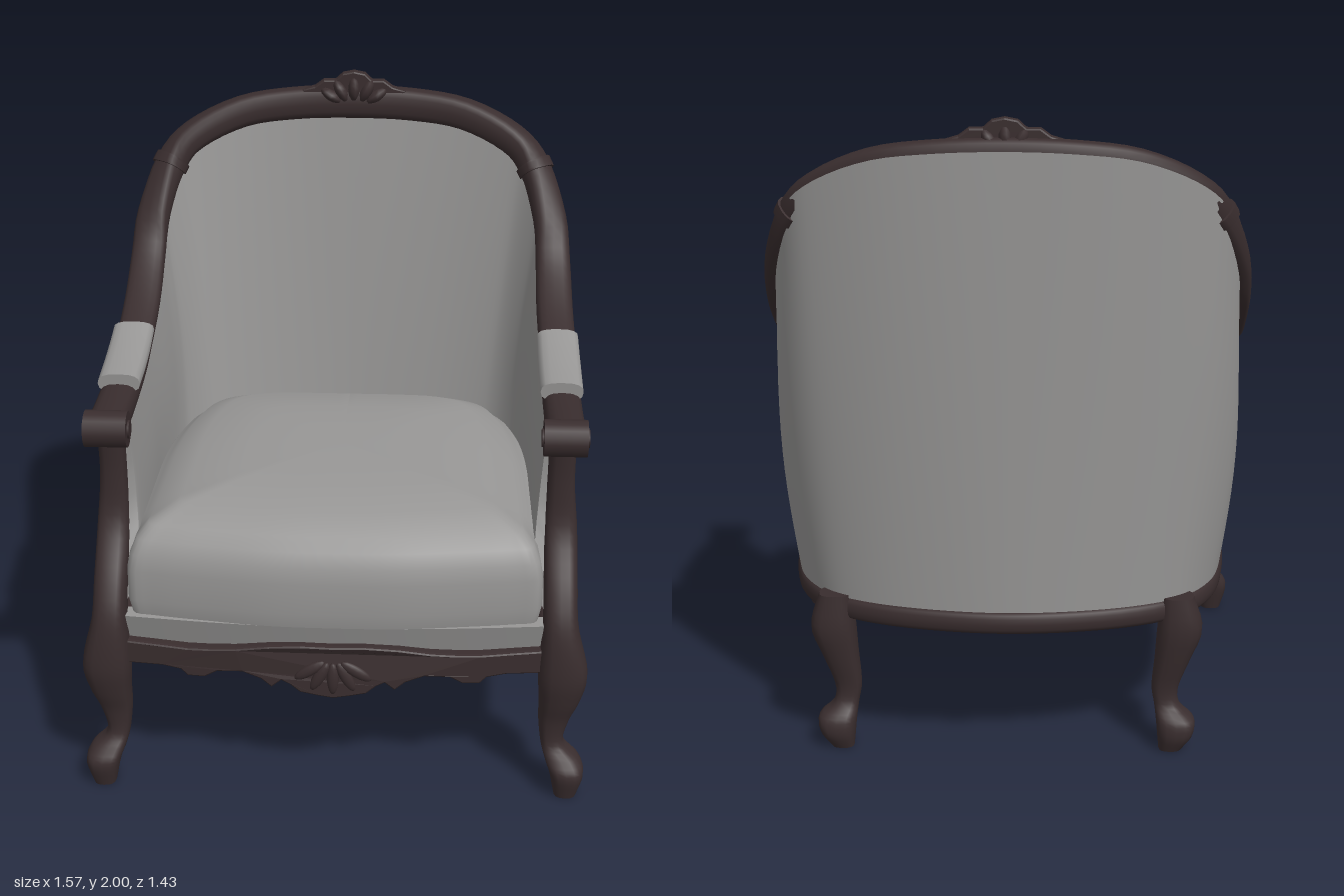
import * as THREE from 'three';

const wood = new THREE.MeshStandardMaterial({ color: 0x392d2e });
wood.name = 'darkWood';
const fabric = new THREE.MeshStandardMaterial({ color: 0x989796, side: THREE.DoubleSide });
fabric.name = 'greyFabric';

const X = new THREE.Vector3(1, 0, 0), Z = new THREE.Vector3(0, 0, 1);
const V = (x, y, z) => new THREE.Vector3(x, y, z);
const curveOf = pts => new THREE.CatmullRomCurve3(pts, false, 'catmullrom', 0.5);
const mirrorRows = rows => rows.map(([x, ...r]) => [-x, ...r]);
// Half a path from the left arm to the middle, continued to the right arm
const wholeRows = half => [...half, ...mirrorRows(half.slice(0, -1)).reverse()];

// Section axes: upright parts use x and z, rails follow the plan of the path
const uprightFrame = () => [X, Z];
const outOf = t => V(-t.z, 0, t.x).normalize();
const railFrame = t => [outOf(t), t.clone().cross(outOf(t))];

// Sweep a soft-cornered section along rows of [x, y, z, halfWidth, halfDepth]
function sweep(rows, frame, { steps = rows.length * 3, sides = 16, from = 0, to = 1, grow = 0 } = {}) {
  const path = curveOf(rows.map(r => V(r[0], r[1], r[2])));
  const size = curveOf(rows.map(r => V(r[3], r[4], 0)));
  const soft = n => Math.sign(n) * Math.abs(n) ** 0.75;
  const pos = [], idx = [];
  for (let i = 0; i <= steps; i++) {
    const t = from + (to - from) * i / steps;
    const p = path.getPoint(t), s = size.getPoint(t), [u, v] = frame(path.getTangent(t));
    for (let j = 0; j < sides; j++) {
      const a = j / sides * Math.PI * 2;
      const q = p.clone().addScaledVector(u, (s.x + grow) * soft(Math.cos(a)))
        .addScaledVector(v, (s.y + grow) * soft(Math.sin(a)));
      pos.push(q.x, q.y, q.z);
      if (i < steps) {
        const k = i * sides, n = (j + 1) % sides;
        idx.push(k + j, k + n, k + sides + j, k + n, k + sides + n, k + sides + j);
      }
    }
  }
  // End caps with their own vertices
  for (const [ring, flip] of [[0, true], [steps, false]]) {
    const base = pos.length / 3;
    pos.push(...pos.slice(ring * sides * 3, (ring + 1) * sides * 3));
    for (let j = 1; j < sides - 1; j++)
      idx.push(base, base + (flip ? j + 1 : j), base + (flip ? j : j + 1));
  }
  return indexed(pos, idx);
}

function indexed(pos, idx) {
  const g = new THREE.BufferGeometry();
  g.setAttribute('position', new THREE.Float32BufferAttribute(pos, 3));
  g.setIndex(idx);
  g.computeVertexNormals();
  return g;
}

// Surface from a rule (u, v) -> point
function grid(rule, nu, nv) {
  const pos = [], idx = [];
  for (let i = 0; i <= nu; i++) for (let j = 0; j <= nv; j++) {
    pos.push(...rule(i / nu, j / nv).toArray());
    if (i < nu && j < nv) {
      const a = i * (nv + 1) + j, b = a + nv + 1;
      idx.push(a, b, a + 1, b, b + 1, a + 1);
    }
  }
  return indexed(pos, idx);
}

// Symmetric carved board from half outlines, pushed back or forward by a rule in x
function carved(top, bottom, depth, bend) {
  const half = [...top, ...bottom];
  const outline = [...half, ...half.slice(1, -1).reverse().map(([x, y]) => [-x, y])];
  const shape = new THREE.Shape(outline.map(([x, y]) => new THREE.Vector2(x, y)));
  const g = new THREE.ExtrudeGeometry(shape, { depth, bevelEnabled: true, bevelSize: 0.006, bevelThickness: 0.012, bevelSegments: 2 });
  const p = g.attributes.position;
  for (let i = 0; i < p.count; i++) p.setZ(i, p.getZ(i) + bend(p.getX(i)));
  g.computeVertexNormals();
  return g;
}

// Bowed front line of the seat
const bow = x => 0.645 + 0.045 * Math.cos(Math.PI * x / 1.3);

// Front post running down into a curved leg, and the shorter back leg
const frontLeg = [
  [.685, 1.16, .49, .042, .045], [.685, 1.0, .478, .042, .04], [.69, .85, .49, .05, .042],
  [.692, .7, .575, .052, .055], [.695, .58, .62, .055, .064], [.708, .43, .63, .076, .068],
  [.702, .33, .622, .064, .06], [.688, .25, .61, .048, .05], [.685, .17, .612, .036, .045],
  [.715, .125, .635, .054, .052], [.732, .08, .65, .054, .062], [.73, 0, .65, .035, .042]];
const backLeg = [
  [.53, .51, -.53, .05, .045], [.54, .4, -.515, .07, .07], [.52, .3, -.51, .056, .06],
  [.498, .2, -.51, .042, .04], [.505, .14, -.515, .04, .04], [.53, .1, -.535, .06, .054],
  [.53, .05, -.54, .055, .055], [.515, 0, -.54, .035, .035]];
const postZ = y => {
  const i = Math.max(1, frontLeg.findIndex(r => r[1] <= y));
  const [a, b] = [frontLeg[i - 1], frontLeg[i]];
  return THREE.MathUtils.mapLinear(Math.min(y, a[1]), a[1], b[1], a[2], b[2]);
};

export function createModel() {
  const chair = new THREE.Group();
  chair.name = 'armchair';
  const add = (name, geo, mat) => {
    const m = new THREE.Mesh(geo, mat);
    m.name = name;
    chair.add(m);
    return m;
  };

  // Arm and back rail in one sweep
  const topRail = wholeRows([
    [.69, 1.175, .55, .06, .05], [.69, 1.175, .35, .06, .047], [.69, 1.195, .12, .06, .038],
    [.69, 1.235, -.03, .06, .036], [.685, 1.315, -.2, .06, .034], [.682, 1.425, -.35, .058, .034],
    [.67, 1.55, -.435, .056, .038], [.618, 1.70, -.525, .052, .046], [.54, 1.785, -.575, .05, .05],
    [.38, 1.855, -.625, .047, .053], [.2, 1.88, -.65, .046, .055], [0, 1.887, -.655, .046, .056]]);
  add('topRail', sweep(topRail, railFrame, { steps: 88 }), wood);
  for (const t of [7 / 22, 15 / 22])
    add('railCuff', sweep(topRail, railFrame, { steps: 4, from: t - .005, to: t + .005, grow: .007 }), wood);

  // Curved seat rail around the sides and back
  const seatPlan = wholeRows([
    [.70, .5, .66], [.70, .5, .37], [.705, .5, .12], [.70, .5, -.03], [.69, .5, -.15], [.67, .5, -.28],
    [.64, .5, -.38], [.58, .5, -.48], [.5, .5, -.55], [.36, .5, -.61], [.18, .5, -.65], [0, .5, -.665]]);
  add('seatRail', sweep(seatPlan.map(([x, , z]) => [x * .96, .465, z * .97, .035, .036]), railFrame, { steps: 66 }), wood);

  // Upholstered shell: outer and inner skins between seat rail and top rail, fitted to the posts
  const low = curveOf(seatPlan.map(r => V(...r)));
  const high = curveOf(topRail.map(r => V(r[0], r[1], r[2])));
  const skin = (u, v, { lowY, lowOut, highOut, lift, bulge }) => {
    const t = .016 + .968 * u, oLow = outOf(low.getTangent(t)), oHigh = outOf(high.getTangent(t));
    const back = Math.abs(oHigh.z), nearPost = Math.max(0, 1 - Math.min(u, 1 - u) * 14);
    const a = low.getPoint(t).setY(lowY).addScaledVector(oLow, lowOut(back));
    const b = high.getPoint(t).addScaledVector(oHigh, highOut(back));
    b.y += lift * back;
    a.lerp(b, v).addScaledVector(oHigh, bulge * Math.sin(Math.PI * v) * (1 - back) * (1 - nearPost));
    a.z += (postZ(a.y) - a.z) * nearPost;
    return a;
  };
  const outer = (u, v) => skin(u, v, { lowY: .5, lowOut: () => 0, highOut: b => .01 + .05 * b, lift: .022, bulge: .035 });
  const inner = (u, v) => skin(u, v, { lowY: .7, lowOut: b => -.095 - .035 * b, highOut: b => -.055 + .035 * b, lift: 0, bulge: -.015 });
  add('outerUpholstery', grid(outer, 88, 14), fabric);
  add('innerUpholstery', grid(inner, 88, 14), fabric);
  for (const u of [0, 1])
    add('armFrontPanel', grid((s, v) => outer(u, v).lerp(inner(u, v), s), 1, 14), fabric);

  // Draped arm pads
  const armPad = [
    [.687, 1.225, .31, .066, .032], [.687, 1.235, .2, .067, .034],
    [.687, 1.255, .08, .067, .034], [.687, 1.282, -.02, .066, .03]];
  for (const side of [1, -1]) {
    const rows = r => side > 0 ? r : mirrorRows(r);
    add('frontLeg', sweep(rows(frontLeg), uprightFrame, { steps: 48 }), wood);
    add('backLeg', sweep(rows(backLeg), uprightFrame), wood);
    add('armPad', sweep(rows(armPad), railFrame), fabric);
    // Rolled hand rest at the arm end
    const roll = add('armScroll', new THREE.CylinderGeometry(.056, .056, .13, 16), wood);
    roll.rotation.z = Math.PI / 2;
    roll.position.set(side * .687, 1.178, .552);
    const eye = add('armScrollEye', new THREE.CylinderGeometry(.028, .028, .142, 12), wood);
    eye.rotation.z = Math.PI / 2;
    eye.position.copy(roll.position);
  }

  // Domed seat cushion, open below: a full wall at the front, a short rim at the sides and back
  const plan = curveOf(wholeRows([[0, 0, -.535], [.2, 0, -.535], [.39, 0, -.52], [.51, 0, -.45], [.575, 0, -.28],
    [.61, 0, -.05], [.62, 0, .2], [.628, 0, .5], [.632, 0, .62], [.56, 0, .645], [.4, 0, .67], [.2, 0, .695], [0, 0, .7]])
    .map(r => V(...r)));
  const rings = [[.985, .59], [1, .64], [1, .74], [.985, .79],
    [.955, .835], [.9, .873], [.76, .915], [.5, .934], [.25, .939], [0, .94]];
  add('seatCushion', grid((u, v) => {
    const [s, y] = rings[Math.round(v * (rings.length - 1))], p = plan.getPoint(u);
    const wall = .25 + .75 * THREE.MathUtils.smoothstep(p.z, .42, .6);
    return V(p.x * s, y < .835 ? .835 - (.835 - y) * wall : y, .08 + (p.z - .08) * s);
  }, 96, rings.length - 1), fabric);

  // Seat front under the cushion, with its ledge
  add('seatFront', grid((u, v) => V((u - .5) * 1.3, .49 + .1 * v, bow((u - .5) * 1.3) - .03 + .03 * v), 24, 2), fabric);
  add('seatLedge', grid((u, v) => V((u - .5) * 1.3, .59, bow((u - .5) * 1.3) - .06 * v), 24, 1), fabric);

  // Scalloped front apron with a shell in the middle
  add('frontApron', carved(
    [[0, .52], [.1, .522], [.2, .515], [.3, .5], [.38, .494], [.45, .492], [.56, .498], [.65, .502]],
    [[.65, .435], [.53, .435], [.47, .425], [.45, .405], [.4, .405], [.36, .428], [.28, .432], [.22, .41],
      [.19, .385], [.16, .41], [.13, .395], [.1, .37], [.05, .36], [0, .352]],
    .035, x => bow(x) - .038), wood);

  // Carved crest on the back rail
  add('crest', carved(
    [[0, 1.992], [.035, 1.985], [.06, 1.962], [.1, 1.962], [.13, 1.94], [.17, 1.93]],
    [[.14, 1.905], [.09, 1.895], [.05, 1.885], [0, 1.885]],
    .02, () => -.65), wood);

  // Fans of raised lobes on the crest and the apron shell
  for (let i = -2; i <= 2; i++) {
    const a = i * .5;
    const up = add('crestLobe', new THREE.SphereGeometry(1, 10, 8), wood);
    up.scale.set(.022, .046, .046);
    up.position.set(Math.sin(a) * .09, 1.89 + Math.cos(a) * .045, -.638);
    up.rotation.z = -a;
    const down = add('apronLobe', new THREE.SphereGeometry(1, 10, 8), wood);
    down.scale.set(.019, .055, .014);
    down.position.set(Math.sin(a) * .085, .475 - Math.cos(a) * .06, bow(0) + .004);
    down.rotation.z = a;
  }
  return chair;
}
